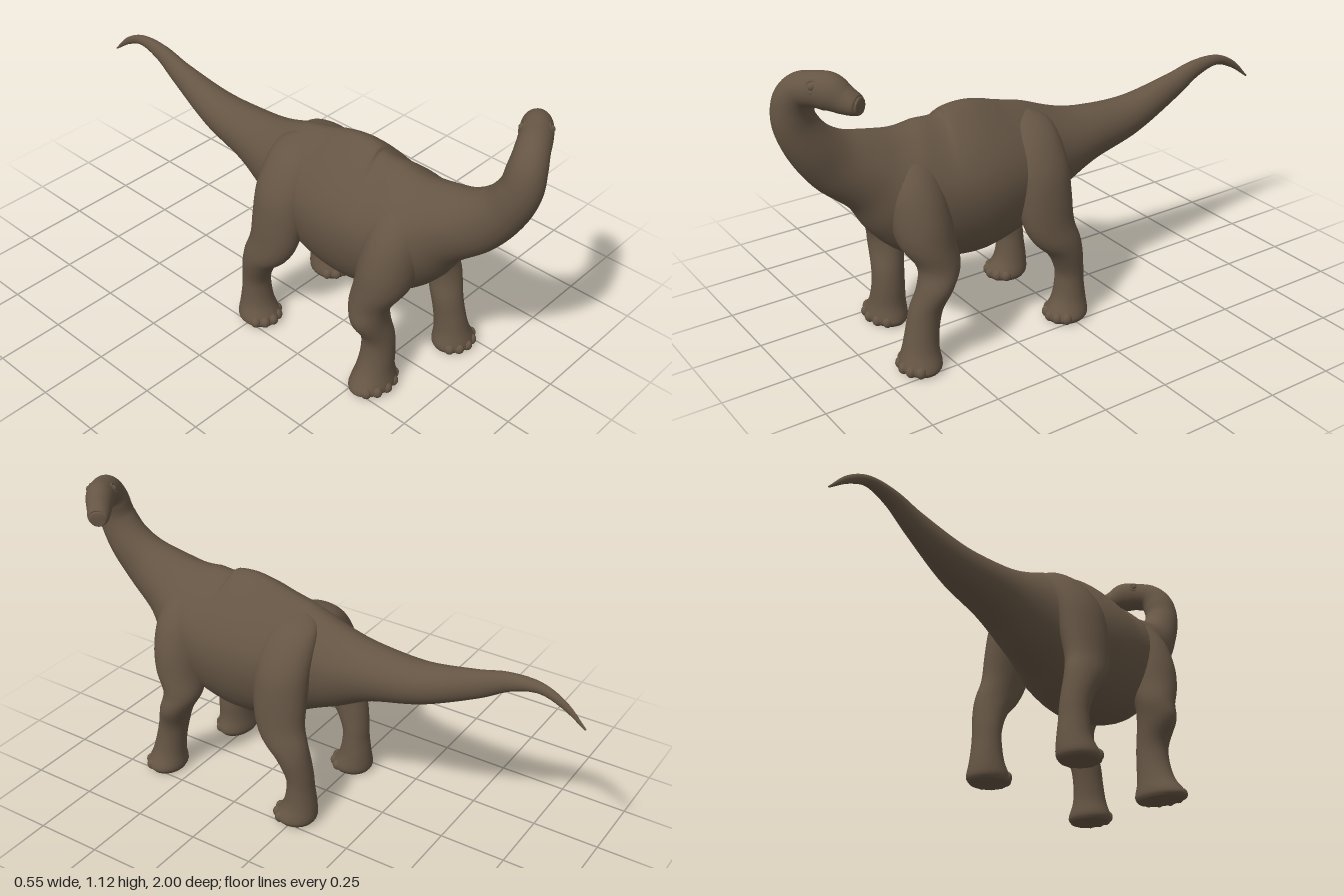
import * as THREE from 'three';

const hide = new THREE.MeshStandardMaterial({ color: 0x655544 });
hide.name = 'brown hide';

// Skin through rings [x, y, z, halfWidth, halfHeight, sideAngle, topNarrowing].
// level = true keeps every ring horizontal (legs).
function loft(name, rings, steps, sides, level = false) {
  const curve = f => new THREE.CatmullRomCurve3(rings.map(r => new THREE.Vector3(...f(r))), false, 'catmullrom', 0.5);
  const path = curve(r => [r[0], r[1], r[2]]);
  const size = curve(r => [r[3], r[4], 0]);
  const form = curve(r => [r[5] || 0, r[6] || 0, 0]);
  const pos = [], index = [];
  for (let i = 0; i <= steps; i++) {
    const c = path.getPoint(i / steps), k = size.getPoint(i / steps), f = form.getPoint(i / steps);
    const t = level ? new THREE.Vector3(0, 1, 0) : path.getTangent(i / steps);
    const s = new THREE.Vector3(Math.cos(f.x), 0, Math.sin(f.x));
    s.addScaledVector(t, -s.dot(t)).normalize();
    const u = new THREE.Vector3().crossVectors(t, s);
    for (let j = 0; j < sides; j++) {
      const a = j / sides * Math.PI * 2, up = Math.max(0, Math.sin(a));
      const w = k.x * (1 - f.y * up * up);
      const p = c.clone().addScaledVector(s, Math.cos(a) * w).addScaledVector(u, Math.sin(a) * k.y);
      pos.push(p.x, p.y, p.z);
      if (i < steps) {
        const n = (j + 1) % sides, A = i * sides + j, B = i * sides + n;
        index.push(A, B, A + sides, B, B + sides, A + sides);
      }
    }
  }
  // end caps
  const first = pos.length / 3, last = first + 1, top = steps * sides;
  pos.push(...path.getPoint(0).toArray(), ...path.getPoint(1).toArray());
  for (let j = 0; j < sides; j++) {
    const n = (j + 1) % sides;
    index.push(first, n, j, last, top + j, top + n);
  }
  const g = new THREE.BufferGeometry();
  g.setAttribute('position', new THREE.Float32BufferAttribute(pos, 3));
  g.setIndex(index);
  g.computeVertexNormals();
  const m = new THREE.Mesh(g, hide);
  m.name = name;
  return m;
}

function ball(name, x, y, z, rx, ry, rz) {
  const m = new THREE.Mesh(new THREE.SphereGeometry(1, 16, 12), hide);
  m.name = name;
  m.position.set(x, y, z);
  m.scale.set(rx, ry, rz);
  return m;
}

// tail tip to snout
const TAIL = [
  [0.02, 0.665, -1.0, 0.003, 0.003], [0.02, 0.73, -0.92, 0.01, 0.014],
  [0.02, 0.765, -0.83, 0.018, 0.02], [0.02, 0.75, -0.72, 0.028, 0.034],
  [0.018, 0.7, -0.6, 0.042, 0.052], [0.015, 0.635, -0.4, 0.075, 0.077],
  [0.012, 0.61, -0.2, 0.1, 0.11, 0, 0.1], [0.005, 0.59, -0.05, 0.128, 0.167, 0, 0.25],
];
const TRUNK = [
  [0, 0.582, 0.08, 0.172, 0.22, 0, 0.45], [0.003, 0.572, 0.2, 0.2, 0.262, 0, 0.5],
  [0.005, 0.572, 0.32, 0.21, 0.279, 0, 0.5], [0.003, 0.583, 0.45, 0.2, 0.258, 0, 0.5],
  [0, 0.632, 0.57, 0.175, 0.212, 0, 0.42], [0, 0.686, 0.67, 0.13, 0.147, 0, 0.25],
];
const NECK = [
  [0.005, 0.75, 0.79, 0.09, 0.11], [0.015, 0.83, 0.875, 0.075, 0.085],
  [0.02, 0.92, 0.925, 0.066, 0.072], [0.035, 0.995, 0.932, 0.062, 0.066, 0.35],
  [0.07, 1.042, 0.92, 0.056, 0.058, 0.75], [0.12, 1.056, 0.896, 0.054, 0.057, 0.93],
  [0.165, 1.055, 0.868, 0.052, 0.061, 0.93], [0.203, 1.036, 0.841, 0.044, 0.047, 0.93],
  [0.235, 1.023, 0.818, 0.038, 0.034, 0.93], [0.248, 1.022, 0.81, 0.026, 0.025, 0.93],
];

// sole to knee of each front leg, then the shared shoulder (positive x outward)
const LEFT_SHIN = [
  [0.19, 0.003, 0.61, 0.074, 0.062], [0.19, 0.025, 0.612, 0.084, 0.074],
  [0.184, 0.08, 0.605, 0.064, 0.064], [0.18, 0.15, 0.592, 0.057, 0.059],
  [0.18, 0.22, 0.575, 0.06, 0.058], [0.195, 0.3, 0.545, 0.07, 0.061],
];
const RIGHT_SHIN = [
  [0.175, 0.003, 0.54, 0.088, 0.062], [0.175, 0.025, 0.543, 0.1, 0.074],
  [0.162, 0.08, 0.54, 0.074, 0.064], [0.15, 0.15, 0.54, 0.063, 0.059],
  [0.153, 0.22, 0.537, 0.062, 0.058], [0.182, 0.3, 0.525, 0.078, 0.061],
];
const SHOULDER = [
  [0.18, 0.37, 0.522, 0.076, 0.074], [0.148, 0.45, 0.546, 0.102, 0.096],
  [0.128, 0.54, 0.555, 0.11, 0.102], [0.1, 0.64, 0.558, 0.103, 0.096],
  [0.068, 0.72, 0.553, 0.073, 0.072], [0.03, 0.77, 0.55, 0.02, 0.02],
];
// sole to hip
const HIND = [
  [0.195, 0.003, 0.005, 0.065, 0.07], [0.195, 0.025, 0.003, 0.076, 0.08],
  [0.19, 0.08, -0.012, 0.062, 0.062], [0.19, 0.15, -0.014, 0.055, 0.051],
  [0.192, 0.2, -0.01, 0.055, 0.052], [0.198, 0.27, 0.012, 0.06, 0.066],
  [0.198, 0.33, 0.047, 0.064, 0.09], [0.187, 0.4, 0.075, 0.068, 0.098],
  [0.17, 0.5, 0.083, 0.077, 0.105], [0.148, 0.6, 0.083, 0.08, 0.105],
  [0.1, 0.69, 0.08, 0.078, 0.098], [0.062, 0.745, 0.075, 0.055, 0.075],
  [0.03, 0.775, 0.07, 0.02, 0.02],
];

function leg(name, rings, side) {
  const g = new THREE.Group();
  g.name = name;
  g.add(loft(name + 'Limb', rings.map(([x, ...rest]) => [x * side, ...rest]), 48, 28, true));
  const [fx, , fz, w, d] = rings[1];
  for (let i = -2; i <= 2; i++) {
    const a = i * 0.52;
    g.add(ball('toe', fx * side + Math.sin(a) * w * 0.85, 0.024, fz + Math.cos(a) * d * 0.86, 0.019, 0.022, 0.02));
  }
  return g;
}

export function createModel() {
  const model = new THREE.Group();
  model.name = 'longNeckedDinosaur';
  model.add(loft('bodyNeckAndTail', [...TAIL, ...TRUNK, ...NECK], 160, 40));
  model.add(leg('leftFrontLeg', [...LEFT_SHIN, ...SHOULDER], 1));
  model.add(leg('rightFrontLeg', [...RIGHT_SHIN, ...SHOULDER], -1));
  model.add(leg('leftHindLeg', HIND, 1), leg('rightHindLeg', HIND, -1));

  // eyes, brows and nostrils on both sides of the turned head
  const out = new THREE.Vector3(0.6, 0, 0.8);
  for (const side of [1, -1]) {
    const e = new THREE.Vector3(0.132, 1.08, 0.888).addScaledVector(out, side * 0.043);
    model.add(ball('eye', e.x, e.y, e.z, 0.013, 0.013, 0.013));
    const lid = new THREE.Mesh(new THREE.TorusGeometry(0.018, 0.006, 8, 24), hide);
    lid.name = 'eyelid';
    lid.position.copy(e);
    lid.lookAt(e.clone().addScaledVector(out, side).add(new THREE.Vector3(0, 0.4, 0)));
    model.add(lid);
    const n = new THREE.Vector3(0.222, 1.047, 0.828).addScaledVector(out, side * 0.022);
    model.add(ball('nostril', n.x, n.y, n.z, 0.009, 0.007, 0.009));
  }
  return model;
}
